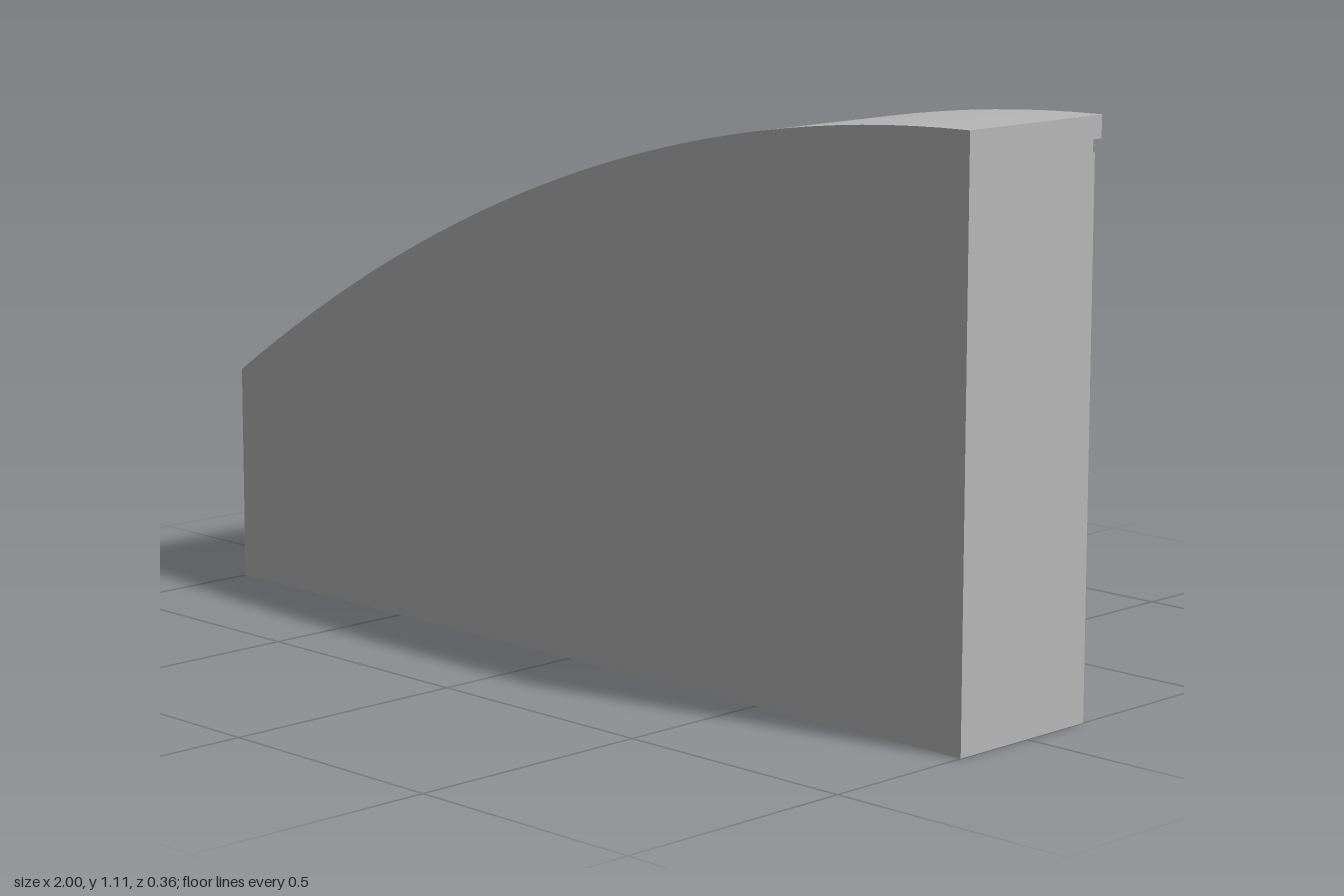
import * as THREE from 'three';

const SEGMENTS = 32;
const WALL_BACK = -0.155;
// height of the curved top at x
const topAt = (x) => 1.112 - 0.167 * (1 - x) ** 2;

// closed outline between a lower rule and the curved top, extruded from zMin to zMax
function curvedSlab(lower, zMin, zMax, material, name) {
  const upperPts = [];
  const lowerPts = [];
  for (let i = 0; i <= SEGMENTS; i++) {
    const x = -1 + (2 * i) / SEGMENTS;
    upperPts.push(new THREE.Vector2(x, topAt(x)));
    lowerPts.push(new THREE.Vector2(x, lower(x)));
  }
  const shape = new THREE.Shape([...lowerPts, ...upperPts.reverse()]);
  const geo = new THREE.ExtrudeGeometry(shape, { depth: zMax - zMin, bevelEnabled: false });
  geo.translate(0, 0, zMin);
  const mesh = new THREE.Mesh(geo, material);
  mesh.name = name;
  return mesh;
}

// thin relief plate on the back wall
function backPlate(x0, x1, y0, y1, zBack, material, name) {
  const geo = new THREE.BoxGeometry(x1 - x0, y1 - y0, WALL_BACK - zBack);
  geo.translate((x0 + x1) / 2, (y0 + y1) / 2, (WALL_BACK + zBack) / 2);
  const mesh = new THREE.Mesh(geo, material);
  mesh.name = name;
  return mesh;
}

export function createModel() {
  const model = new THREE.Group();
  model.name = 'curvedWall';
  const stone = new THREE.MeshStandardMaterial({ color: 0xb8b8b8 });
  stone.name = 'grey stone';

  // main wall: only the end points are needed along the flat bottom
  const wallPts = [new THREE.Vector2(-1, 0), new THREE.Vector2(1, 0)];
  for (let i = SEGMENTS; i >= 0; i--) {
    const x = -1 + (2 * i) / SEGMENTS;
    wallPts.push(new THREE.Vector2(x, topAt(x)));
  }
  const wallGeo = new THREE.ExtrudeGeometry(new THREE.Shape(wallPts), {
    depth: 0.18 - WALL_BACK, bevelEnabled: false,
  });
  wallGeo.translate(0, 0, WALL_BACK);
  const wall = new THREE.Mesh(wallGeo, stone);
  wall.name = 'wall';
  model.add(wall);

  // cornice following the curve along the back
  model.add(curvedSlab((x) => topAt(x) - 0.043, -0.178, WALL_BACK, stone, 'cornice'));

  // six slim vertical ribs
  for (let i = 0; i < 6; i++) {
    const x = 0.994 - 0.3976 * i;
    model.add(backPlate(x - 0.006, x + 0.006, 0, topAt(x) - 0.067, -0.16, stone, 'rib'));
  }

  // ten square blocks stepping down under the cornice
  for (let i = 0; i < 10; i++) {
    const x1 = 0.9 - 0.2 * i;
    const x0 = x1 - 0.1;
    const top = topAt(x0) - 0.06;
    model.add(backPlate(x0, x1, top - 0.115, top, -0.161, stone, 'block'));
  }
  model.position.y = 0;
  return model;
}
